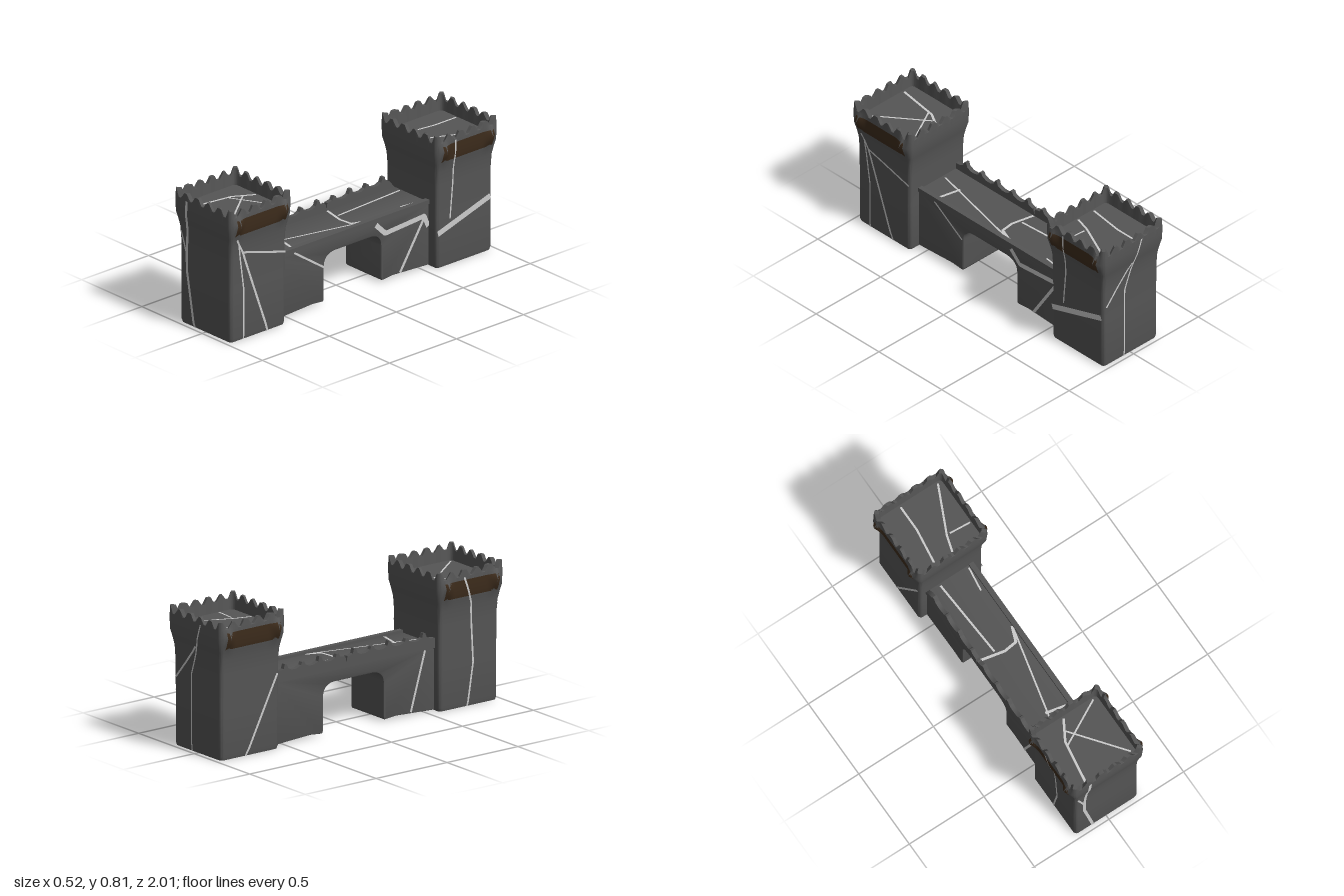
import * as THREE from 'three';
import { toCreasedNormals } from 'three/addons/utils/BufferGeometryUtils.js';

const stone = new THREE.MeshStandardMaterial({ color: 0x555555, side: THREE.DoubleSide });
const crackMat = new THREE.MeshStandardMaterial({ color: 0xcccccc, side: THREE.DoubleSide });
const rust = new THREE.MeshStandardMaterial({ color: 0x3d2c1c, side: THREE.DoubleSide });

const TZ = 0.77, ZS = 0.98, FLOOR = 0.71, DECK = 0.385;

// Tower outline: half width, height, corbel bulge
const PROFILE = [
  [0.205, 0, 0], [0.21, 0.02, 0], [0.21, 0.3, 0], [0.211, 0.5, 0], [0.215, 0.58, 0], [0.224, 0.63, 0],
  [0.233, 0.67, 0.008], [0.235, 0.715, 0.028], [0.235, 0.765, 0.002],
];

function halfWidth(y) {
  for (let i = 1; i < PROFILE.length; i++) {
    const [h0, y0] = PROFILE[i - 1], [h1, y1] = PROFILE[i];
    if (y <= y1) return h0 + (h1 - h0) * (y - y0) / (y1 - y0);
  }
  return 0.235;
}

// Jagged battlement height along one side, s from -1 to 1
function merlon(s) {
  const t = (s + 1) * 2.5, k = Math.round(t), d = Math.abs(t - k);
  const corner = k === 0 || k === 5;
  const flat = corner ? 0.2 : 0.08 + 0.07 * (k % 2);
  const rise = THREE.MathUtils.clamp((0.4 - d) / (0.4 - flat), 0, 1);
  return 0.767 + (corner ? 0.042 : 0.036) * rise;
}

const bulge = s => Math.max(0, 1 - Math.abs(Math.abs(s) - 0.74) / 0.22);

// Grid of rows joined into one skin
function skin(rows) {
  const n = rows[0].length, index = [];
  for (let j = 0; j < rows.length - 1; j++) {
    for (let i = 0; i < n - 1; i++) {
      const a = j * n + i, b = a + n;
      index.push(a, b, a + 1, a + 1, b, b + 1);
    }
  }
  const g = new THREE.BufferGeometry();
  g.setAttribute('position', new THREE.Float32BufferAttribute(rows.flat(2), 3));
  g.setIndex(index);
  g.computeVertexNormals();
  return g;
}

function mesh(name, geometry, material = stone) {
  const m = new THREE.Mesh(geometry, material);
  m.name = name;
  return m;
}

// Tower shell, rim and sunken roof as one loft
function towerGeometry() {
  const N = 60;
  const ring = (h, y, out = 0) => {
    const row = [];
    for (let i = 0; i <= 4 * N; i++) {
      const side = Math.floor(i / N) % 4, s = -1 + 2 * (i % N) / N;
      let [x, z] = [[1, s], [-s, 1], [-1, -s], [s, -1]][side];
      const cx = THREE.MathUtils.clamp(x, -0.9, 0.9), cz = THREE.MathUtils.clamp(z, -0.9, 0.9);
      const d = Math.hypot(x - cx, z - cz) || 1;
      x = cx + (x - cx) / d * 0.1;
      z = cz + (z - cz) / d * 0.1;
      const push = side % 2 === 0 ? out * bulge(s) * Math.sign(x) : 0;
      row.push([x * h + push, y ?? merlon(s), z * h * ZS]);
    }
    return row;
  };
  const rows = [ring(0, 0), ...PROFILE.map(p => ring(...p)), ring(0.233), ring(0.213),
    ring(0.208, FLOOR), ring(0, FLOOR)];
  return toCreasedNormals(skin(rows), 0.6);
}

// Stained band below the battlements on one x side
function stain(sx) {
  const rows = [0.645, 0.67, 0.715, 0.745].map((y, j) => {
    const row = [], out = [0, 0.008, 0.028, 0.01][j];
    for (let i = 0; i <= 30; i++) {
      const s = -0.82 + 1.64 * i / 30;
      row.push([sx * (halfWidth(y) + out * bulge(s) + 0.002), y, s * 0.23]);
    }
    return row;
  });
  return mesh('stainBand', skin(rows), rust);
}

// Pale fracture following a path of (u, v) points laid on a surface
function crack(path, width, place) {
  const rows = [];
  for (let k = 0; k < path.length - 1; k++) {
    const [u0, v0] = path[k], [u1, v1] = path[k + 1];
    const len = Math.hypot(u1 - u0, v1 - v0);
    const nu = -(v1 - v0) / len * width / 2, nv = (u1 - u0) / len * width / 2;
    for (let i = 0; i <= 10; i++) {
      const u = u0 + (u1 - u0) * i / 10, v = v0 + (v1 - v0) * i / 10;
      rows.push([place(u - nu, Math.max(0, v - nv)), place(u + nu, Math.max(0, v + nv))]);
    }
  }
  return mesh('crack', skin(rows), crackMat);
}

// Surfaces that fractures lie on
const E = 0.003;
const towerSide = sx => (z, y) => [sx * (halfWidth(y) + E), y, z];
const towerEnd = sz => (x, y) => [x, y, sz * (TZ + halfWidth(y) * ZS + E)];
const wallSide = x => (z, y) => [x, y, z];
const level = y => (x, z) => [x, y + E, z];
// Floor paths keep their signed z
function floorCrack(path, width, y) {
  const lift = path.map(([x, z]) => [x, z + 2]);
  return crack(lift, width, (x, z) => level(y)(x, z - 2));
}

// Outline in the z-y plane given thickness from x0 to x1
function slab(shape, x0, x1, bevel) {
  const g = new THREE.ExtrudeGeometry(shape, {
    depth: x1 - x0 - 2 * bevel, bevelEnabled: bevel > 0, bevelSize: bevel, bevelThickness: bevel,
    bevelOffset: -bevel, bevelSegments: 2, curveSegments: 10,
  });
  return toCreasedNormals(g.rotateY(Math.PI / 2).translate(x0 + bevel, 0, 0), 0.6);
}

function gateWall() {
  const s = new THREE.Shape();
  s.moveTo(-0.59, 0);
  s.lineTo(-0.3, 0.015);
  s.lineTo(-0.225, 0.008);
  s.quadraticCurveTo(-0.212, 0.01, -0.212, 0.03);
  s.lineTo(-0.212, 0.22);
  s.quadraticCurveTo(-0.21, 0.292, -0.13, 0.294);
  s.lineTo(0.13, 0.294);
  s.quadraticCurveTo(0.21, 0.292, 0.212, 0.22);
  s.lineTo(0.212, 0.03);
  s.quadraticCurveTo(0.212, 0.01, 0.225, 0.008);
  s.lineTo(0.3, 0.015);
  s.lineTo(0.59, 0);
  s.lineTo(0.59, DECK);
  s.lineTo(-0.59, DECK);
  return mesh('gateWall', slab(s, -0.16, 0.14, 0.01));
}

// Jagged parapet with a split near the middle
function parapet() {
  const s = new THREE.Shape();
  s.moveTo(-0.58, 0.365);
  s.lineTo(0.58, 0.365);
  for (let i = 4; i >= -4; i--) {
    const u = i * 0.122;
    s.lineTo(u + 0.045, 0.425);
    s.lineTo(u + 0.014, 0.438);
    s.lineTo(u + 0.006, i % 2 ? 0.455 : 0.465);
    s.lineTo(u - 0.008, i % 2 ? 0.458 : 0.462);
    s.lineTo(u - 0.02, 0.436);
    if (i === 1) [[0.066, 0.43], [0.06, 0.395], [0.052, 0.43]].forEach(p => s.lineTo(...p));
    else s.lineTo(u - 0.045, 0.425);
  }
  s.lineTo(-0.58, 0.42);
  return mesh('parapet', slab(s, -0.17, -0.145, 0));
}

export function createModel() {
  const model = new THREE.Group();
  const shell = towerGeometry();

  for (const [name, sz] of [['frontTower', 1], ['backTower', -1]]) {
    const tower = new THREE.Group();
    tower.name = name;
    tower.position.z = sz * TZ;
    tower.add(mesh('towerShell', shell), stain(1), stain(-1));
    model.add(tower);
  }

  // Wall between the towers, with a low lip on the open side
  const lip = mesh('deckLip', new THREE.BoxGeometry(0.03, 0.025, 1.16));
  lip.position.set(0.133, 0.388, 0);
  model.add(gateWall(), parapet(), lip);

  // Fractures: upright faces
  const R = towerSide(1), L = towerSide(-1), W = wallSide(0.143), V = wallSide(-0.163);
  const F = towerEnd(1), B = towerEnd(-1);
  [
    [[[0.94, 0.62], [0.89, 0.53], [0.57, 0.44]], 0.012, R],
    [[[0.89, 0.53], [0.7, 0]], 0.014, R],
    [[[0.92, 0.58], [0.88, 0.3], [0.88, 0]], 0.01, R],
    [[[-0.68, 0.76], [-0.68, 0.5], [-0.66, 0.28]], 0.01, R],
    [[[-0.57, 0.21], [-0.96, 0.33]], 0.035, R],
    [[[0.44, 0.37], [0.22, 0.22]], 0.012, W],
    [[[-0.17, 0.36], [-0.24, 0.29], [-0.53, 0.31], [-0.56, 0.24]], 0.03, W],
    [[[-0.53, 0.3], [-0.35, 0.02]], 0.018, W],
    [[[-0.58, 0.44], [-0.8, 0]], 0.014, L],
    [[[0.72, 0.76], [0.78, 0.6], [0.8, 0.25], [0.76, 0]], 0.012, L],
    [[[0.5, 0.36], [0.4, 0.02]], 0.014, V],
    [[[-0.09, 0], [-0.15, 0.33], [-0.15, 0.45], [-0.125, 0.76]], 0.018, F],
    [[[-0.15, 0.42], [-0.195, 0.56]], 0.012, F],
    [[[0.05, 0], [0.05, 0.45], [-0.06, 0.76]], 0.01, B],
    [[[0.19, 0.4], [0.0, 0.62]], 0.012, B],
  ].forEach(c => model.add(crack(...c)));

  // Fractures: deck and tower roofs
  [
    [[[-0.14, -0.06], [0, -0.03], [0.08, -0.04], [0.115, -0.13]], 0.016, DECK],
    [[[0.115, -0.12], [-0.04, 0.54]], 0.01, DECK],
    [[[-0.08, -0.55], [-0.05, -0.06]], 0.012, DECK],
    [[[0.11, -0.55], [0.09, -0.4]], 0.01, DECK],
    [[[-0.02, 0.4], [0.115, 0.43]], 0.016, DECK],
    [[[-0.02, 0.58], [-0.09, 0.7], [-0.13, 0.96]], 0.014, FLOOR],
    [[[-0.06, 0.64], [0.18, 0.95]], 0.01, FLOOR],
    [[[-0.1, 0.73], [0.18, 0.58]], 0.01, FLOOR],
    [[[-0.07, -0.96], [-0.07, -0.8], [-0.1, -0.58]], 0.012, FLOOR],
    [[[0.18, -0.96], [0.05, -0.68], [0.02, -0.58]], 0.012, FLOOR],
    [[[0.07, -0.68], [0.2, -0.67]], 0.01, FLOOR],
  ].forEach(c => model.add(floorCrack(...c)));

  return model;
}
